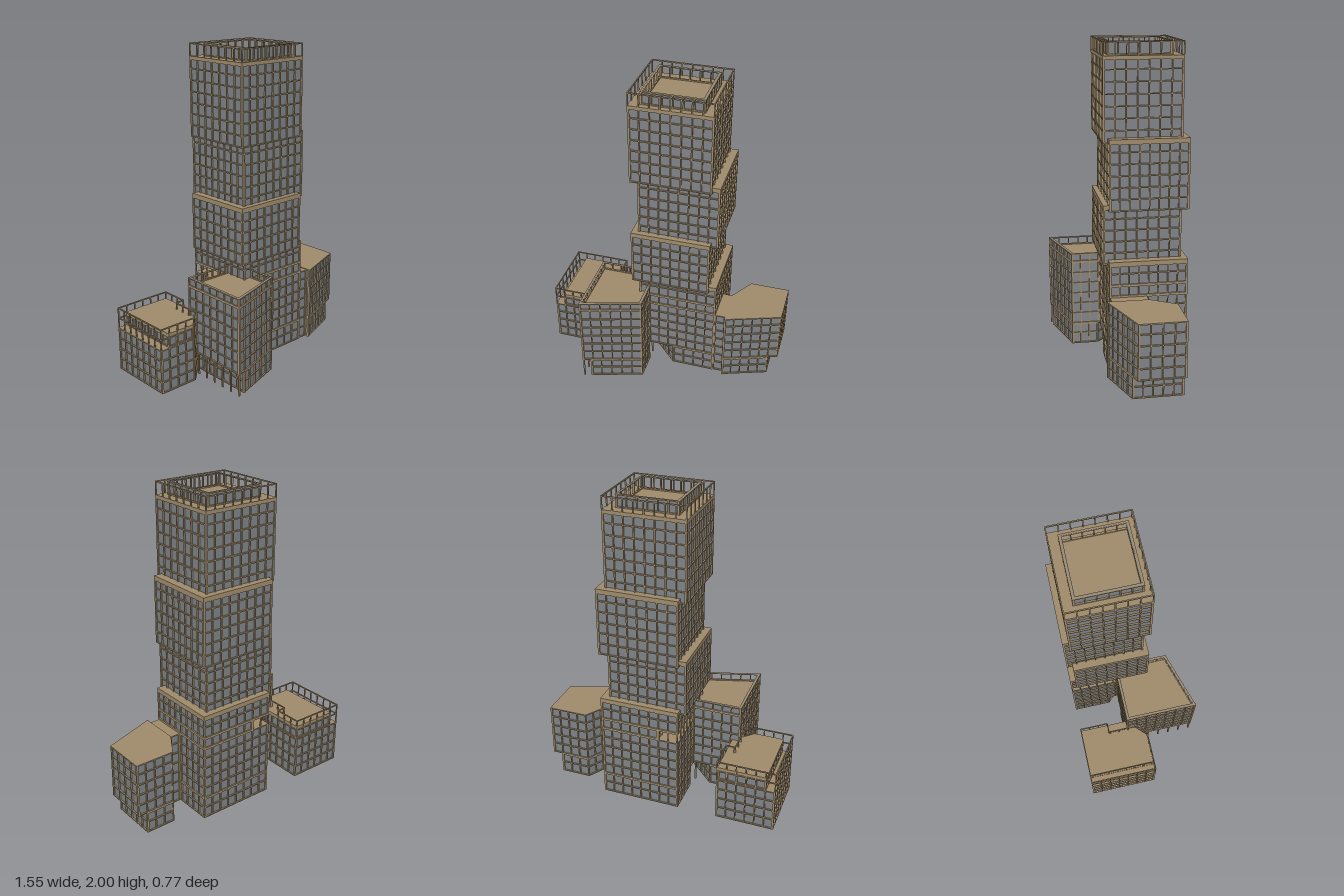
import * as THREE from 'three';
import { mergeGeometries } from 'three/addons/utils/BufferGeometryUtils.js';

const glassMat = new THREE.MeshStandardMaterial({ color: 0x808386 });
const frameMat = new THREE.MeshStandardMaterial({ color: 0x9f8b6b });
const BAY = 0.0635, ROW = 0.07, FIN = 0.007, DEPTH = 0.012;

// Footprints are lists of [x, z]
const rect = (x0, x1, z0, z1) => [[x0, z0], [x1, z0], [x1, z1], [x0, z1]];

const area = (p) => p.reduce((s, [x, z], i) => {
  const [u, v] = p[(i + 1) % p.length];
  return s + (x * v - u * z) / 2;
}, 0);

// Edges with length, direction and inward normal
function edges(p) {
  const s = Math.sign(area(p));
  return p.map((a, i) => {
    const b = p[(i + 1) % p.length];
    const len = Math.hypot(b[0] - a[0], b[1] - a[1]);
    const dx = (b[0] - a[0]) / len, dz = (b[1] - a[1]) / len;
    return { a, b, len, dx, dz, nx: -dz * s, nz: dx * s };
  });
}

// Mitred inward offset
function inset(p, d) {
  const e = edges(p);
  return p.map(([x, z], i) => {
    const f = e[(i + p.length - 1) % p.length], g = e[i];
    const k = d / (1 + f.nx * g.nx + f.nz * g.nz);
    return [x + (f.nx + g.nx) * k, z + (f.nz + g.nz) * k];
  });
}

// Vertical prism over a footprint, with an optional hole
function prism(p, y0, y1, hole) {
  const pts = (q) => q.map(([x, z]) => new THREE.Vector2(x, -z));
  const shape = new THREE.Shape(pts(p));
  if (hole) shape.holes.push(new THREE.Path(pts(hole)));
  return new THREE.ExtrudeGeometry(shape, { depth: y1 - y0, bevelEnabled: false })
    .rotateX(-Math.PI / 2).translate(0, y0, 0);
}

function bar(w, h, d, x, y, z, angle = 0) {
  return new THREE.BoxGeometry(w, h, d).rotateY(angle).translate(x, y, z);
}

function mesh(name, geometry, material) {
  const m = new THREE.Mesh(geometry, material);
  m.name = name;
  return m;
}

// Bars along the outline: uprights at every bay, rails at the given heights
function grid(p, y0, y1, levels, depth = DEPTH) {
  const parts = [];
  for (const e of edges(p)) {
    const angle = Math.atan2(-e.dz, e.dx);
    const ox = e.nx * depth / 2, oz = e.nz * depth / 2;
    const n = Math.max(1, Math.round(e.len / BAY));
    for (let i = 0; i <= n; i++) {
      const t = FIN / 2 + (e.len - FIN) * i / n;
      parts.push(bar(FIN, y1 - y0, depth, e.a[0] + e.dx * t + ox, (y0 + y1) / 2,
        e.a[1] + e.dz * t + oz, angle));
    }
    for (const y of levels) {
      parts.push(bar(e.len, FIN, depth, (e.a[0] + e.b[0]) / 2 + ox, y,
        (e.a[1] + e.b[1]) / 2 + oz, angle));
    }
  }
  return mergeGeometries(parts);
}

// Glazed storey block; hollow makes only a thin wall
function block(name, p, y0, y1, { hollow = false, slab = 0.008, floor = true } = {}) {
  const g = new THREE.Group();
  g.name = name;
  const levels = [];
  for (let y = y0 + FIN / 2; y < y1 - 0.02; y += ROW) levels.push(y);
  levels.push(y1 - FIN / 2);
  g.add(mesh('glazing', prism(inset(p, 0.009), y0 + 0.001, y1 - 0.001,
    hollow ? inset(p, 0.018) : null), glassMat));
  g.add(mesh('facadeGrid', grid(p, y0, y1, levels), frameMat));
  if (!hollow) {
    g.add(mesh('roofSlab', prism(p, y1 - slab, y1), frameMat));
    if (floor) g.add(mesh('floorSlab', prism(p, y0, y0 + 0.006), frameMat));
  }
  return g;
}

const railing = (name, p, y0, y1, levels = []) =>
  mesh(name, grid(p, y0, y1, [...levels, y1 - FIN / 2], FIN), frameMat);

function createTower() {
  const g = new THREE.Group();
  g.name = 'tower';
  const wide = rect(-0.15, 0.36, -0.39, 0.09);
  const shifted = rect(-0.19, 0.315, -0.355, 0.12);

  // Open lobby with one corner cut away for a passage
  g.add(block('lobby', [[-0.15, -0.39], [0.36, -0.39], [0.36, 0.09], [0.08, 0.09], [-0.15, -0.14]],
    0, 0.14, { hollow: true }));

  // Lowest tier, with a terrace notched out of the back corner
  g.add(block('lowerTier', wide, 0.14, 0.49));
  g.add(block('terraceStorey', [[-0.02, -0.39], [0.36, -0.39], [0.36, 0.09], [-0.15, 0.09],
    [-0.15, -0.1], [-0.02, -0.1]], 0.49, 0.56));
  g.add(railing('terracePosts', rect(-0.15, -0.02, -0.39, -0.1), 0.49, 0.56));
  g.add(block('lowerTierTop', wide, 0.56, 0.71, { slab: 0.03 }));

  // Stacked, alternately shifted tiers
  g.add(block('secondTier', shifted, 0.68, 1.05, { slab: 0.03 }));
  g.add(block('thirdTier', wide, 1.02, 1.45, { slab: 0.03 }));
  g.add(block('topTier', shifted, 1.42, 1.92, { slab: 0.022 }));

  // Crown
  g.add(railing('crownRailing', shifted, 1.92, 2.0));
  g.add(block('crownScreen', rect(-0.125, 0.255, -0.295, 0.085), 1.92, 1.998, { hollow: true }));
  return g;
}

function createFrontWing() {
  const g = new THREE.Group();
  g.name = 'frontWing';
  const plan = [[-0.46, -0.08], [-0.08, -0.08], [-0.08, 0.27], [-0.46, 0.385]];
  g.add(block('wingBase', [[-0.41, -0.08], [-0.26, -0.08], [-0.08, 0.1], [-0.08, 0.27], [-0.41, 0.37]],
    0, 0.14));
  g.add(block('wingBody', plan, 0.14, 0.57));
  g.add(block('wingParapet', plan, 0.57, 0.625, { hollow: true }));
  // Stilts under the overhangs
  const stilts = [[-0.085, 0.03], [-0.085, -0.06], [-0.16, -0.07]];
  for (let i = 0; i <= 6; i++) stilts.push([-0.455, -0.07 + i * 0.0745]);
  g.add(mesh('stilts', mergeGeometries(stilts.map(([x, z]) =>
    bar(0.009, 0.14, 0.009, x, 0.07, z))), frameMat));
  return g;
}

function createLowWing() {
  const g = new THREE.Group();
  g.name = 'lowWing';
  const cut = [[-0.4, -0.07], [-0.52, 0.05]];
  g.add(block('lowBody', [[-0.775, -0.39], [-0.4, -0.39], ...cut, [-0.775, 0.05]], 0, 0.285));
  g.add(block('penthouse', [[-0.715, -0.385], [-0.405, -0.385], [-0.405, -0.075], [-0.525, 0.045],
    [-0.715, 0.045]], 0.285, 0.375, { slab: 0.025 }));
  g.add(railing('roofRailing', [[-0.775, -0.39], [-0.4, -0.39], [-0.4, -0.2], [-0.46, -0.2],
    [-0.46, -0.01], [-0.52, 0.05], [-0.775, 0.05]], 0.285, 0.42, [0.35]));
  return g;
}

function createSideWing() {
  const g = new THREE.Group();
  g.name = 'sideWing';
  g.add(block('sideBase', [[0.425, -0.14], [0.52, -0.295], [0.715, -0.295], [0.715, 0.011], [0.425, 0.115]],
    0, 0.14));
  g.add(block('sideBody', [[0.425, -0.14], [0.52, -0.295], [0.775, -0.295], [0.775, -0.01], [0.425, 0.115]],
    0.14, 0.49));
  g.add(block('connector', rect(0.355, 0.43, -0.14, 0.085), 0, 0.485));
  return g;
}

export function createModel() {
  const model = new THREE.Group();
  model.name = 'towerComplex';
  model.add(createTower(), createFrontWing(), createLowWing(), createSideWing());
  return model;
}
